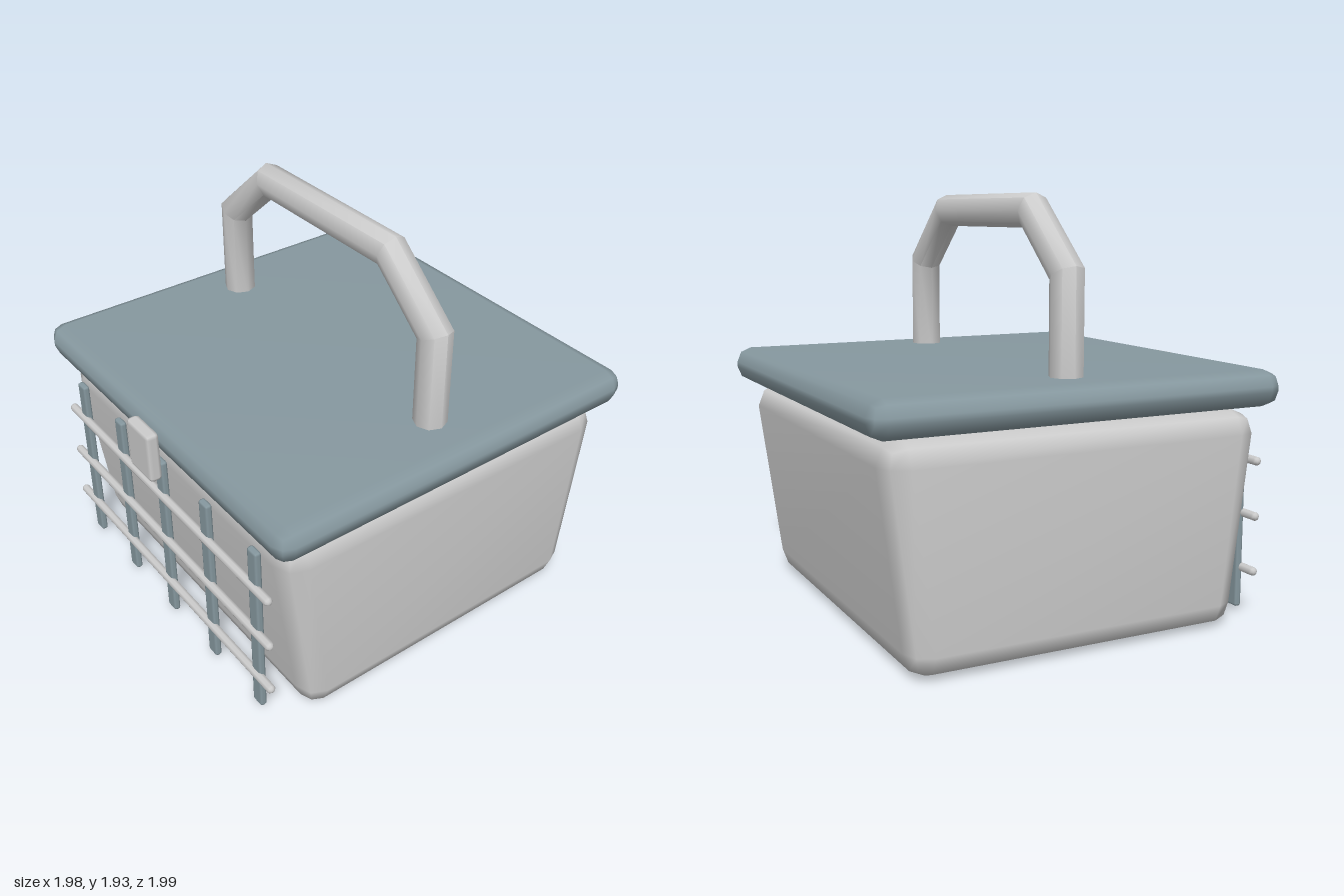
import * as THREE from 'three';
import { RoundedBoxGeometry } from 'three/addons/geometries/RoundedBoxGeometry.js';
import { mergeVertices, toCreasedNormals } from 'three/addons/utils/BufferGeometryUtils.js';

const Z_MID = -0.027;
const grey = new THREE.MeshStandardMaterial({ color: 0xcccccc });
const slate = new THREE.MeshStandardMaterial({ color: 0x86989f });

function addMesh(parent, name, geometry, material, x = 0, y = 0, z = 0) {
  const mesh = new THREE.Mesh(geometry, material);
  mesh.name = name;
  mesh.position.set(x, y, z);
  parent.add(mesh);
  return mesh;
}

// Rounded box whose depth narrows towards the floor
function taperedBox(w, h, d, r, bottomScale) {
  let g = new RoundedBoxGeometry(w, h, d, 1, r);
  const p = g.attributes.position;
  for (let i = 0; i < p.count; i++) {
    const t = (p.getY(i) + h / 2 - r) / (h - 2 * r);
    const k = THREE.MathUtils.lerp(bottomScale, 1, THREE.MathUtils.clamp(t, 0, 1));
    p.setZ(i, p.getZ(i) * k);
  }
  g.deleteAttribute('normal');
  g.deleteAttribute('uv');
  g = mergeVertices(g, 1e-4);
  g.computeVertexNormals();
  return g;
}

// Octagonal bar swept along a path in the xy plane with mitred corners
function mitredBar(path, radius, sides) {
  const pos = [], index = [];
  path.forEach((pt, i) => {
    const a = pt.clone().sub(path[Math.max(i - 1, 0)]).normalize();
    const b = path[Math.min(i + 1, path.length - 1)].clone().sub(pt).normalize();
    if (i === 0) a.copy(b);
    if (i === path.length - 1) b.copy(a);
    const t = a.clone().add(b).normalize();
    const stretch = 1 / t.dot(a);
    for (let j = 0; j < sides; j++) {
      const ang = (j / sides) * Math.PI * 2;
      const u = Math.cos(ang) * radius * stretch;
      pos.push(pt.x - t.y * u, pt.y + t.x * u, Math.sin(ang) * radius);
    }
  });
  for (let i = 0; i < path.length - 1; i++) {
    for (let j = 0; j < sides; j++) {
      const k = (j + 1) % sides;
      const a = i * sides + j, b = i * sides + k, c = a + sides, d = b + sides;
      index.push(a, b, c, b, d, c);
    }
  }
  // End caps
  const last = (path.length - 1) * sides;
  for (let j = 1; j < sides - 1; j++) {
    index.push(0, j + 1, j, last, last + j, last + j + 1);
  }
  const g = new THREE.BufferGeometry();
  g.setAttribute('position', new THREE.Float32BufferAttribute(pos, 3));
  g.setIndex(index);
  return toCreasedNormals(g, 0.81);
}

export function createModel() {
  const model = new THREE.Group();
  model.name = 'carrier';

  // Tub and lid
  addMesh(model, 'body', taperedBox(1.86, 0.985, 1.785, 0.11, 0.885), grey, 0, 0.5, Z_MID);
  addMesh(model, 'lid', taperedBox(1.98, 0.165, 1.93, 0.07, 1), slate, 0, 1.087, -0.03);

  // Carrying handle
  const path = [[0.735, 1.1], [0.735, 1.6], [0.437, 1.86], [-0.437, 1.86], [-0.735, 1.6], [-0.735, 1.1]]
    .map(([x, y]) => new THREE.Vector2(x, y));
  addMesh(model, 'handle', mitredBar(path, 0.076, 8), grey, 0, 0, Z_MID);

  // Front latch
  addMesh(model, 'latch', new RoundedBoxGeometry(0.19, 0.25, 0.063, 1, 0.02), grey, 0, 1.022, 0.968);

  // Front grille: upright slats crossed by thin rods
  const grille = new THREE.Group();
  grille.name = 'grille';
  model.add(grille);
  for (let i = -2; i <= 2; i++) {
    addMesh(grille, 'slat', new RoundedBoxGeometry(0.068, 0.9, 0.034, 1, 0.013), slate, i * 0.368, 0.48, 0.895);
  }
  for (const y of [0.22, 0.48, 0.738]) {
    const rod = addMesh(grille, 'rod', new THREE.CapsuleGeometry(0.021, 1.69, 3, 8), grey, 0, y, 0.91);
    rod.rotation.z = Math.PI / 2;
  }
  return model;
}
